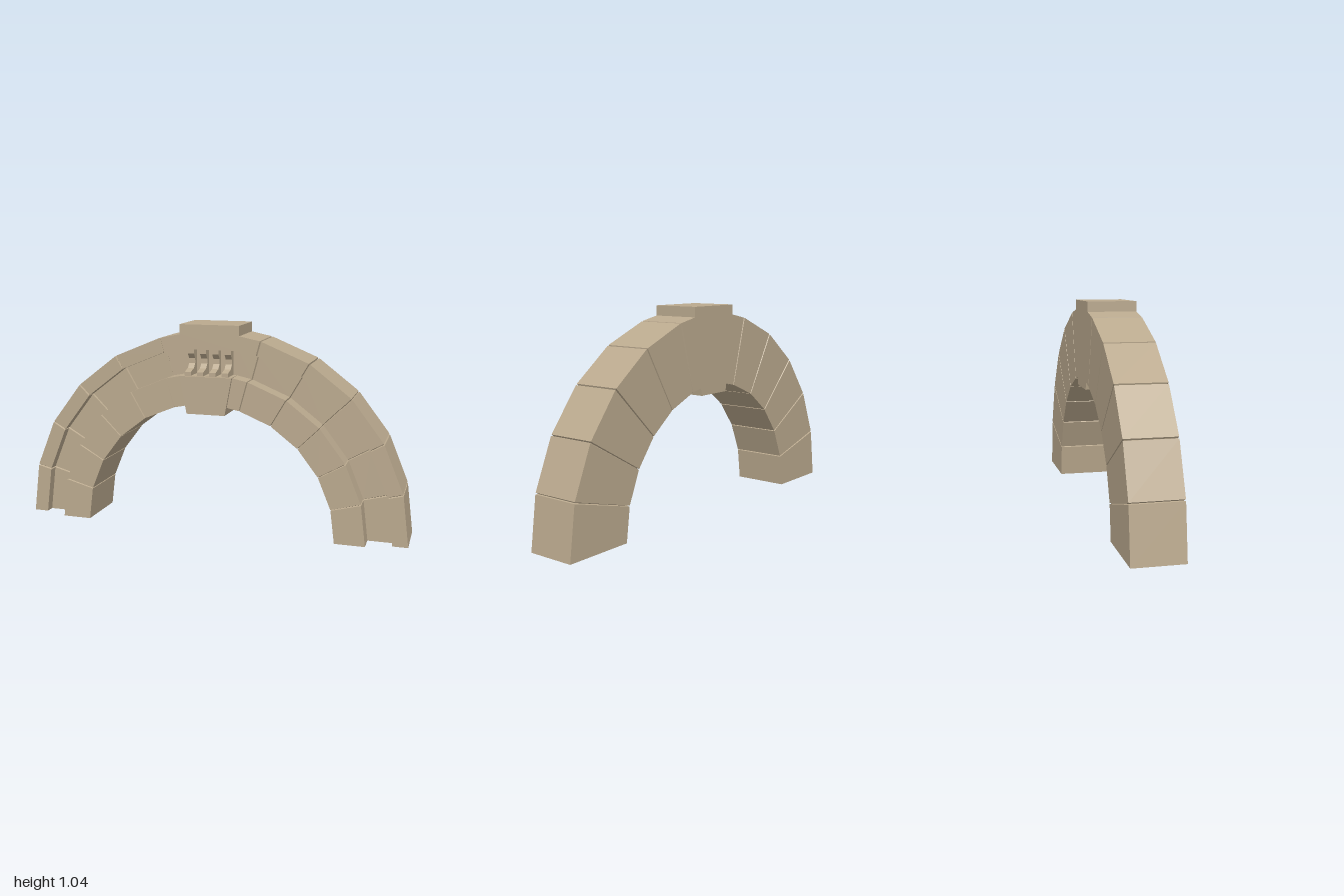
import * as THREE from 'three';

const stone = new THREE.MeshStandardMaterial({ color: 0xbaa98e, side: THREE.DoubleSide, flatShading: true });
stone.name = 'sandstone';

// Cross-section as [radius, z]: recess between two raised bands on the front
const PROFILE = [[1, 0.092], [1, -0.15], [0.65, -0.15], [0.65, 0.14], [0.8, 0.14], [0.8, 0.045], [0.925, 0.045], [0.925, 0.092]];
// The same section shrunk slightly, used at the bottom of the joints
const d = 0.008;
const INSET = [[1 - d, 0.092 - d], [1 - d, -0.15 + d], [0.65 + d, -0.15 + d], [0.65 + d, 0.14 - d],
  [0.8 - d, 0.14 - d], [0.8 - d, 0.045 - d], [0.925 + d, 0.045 - d], [0.925 + d, 0.092 - d]];
const GAP = 0.004;
const rad = THREE.MathUtils.degToRad;

function add(group, name, geometry) {
  const mesh = new THREE.Mesh(geometry, stone);
  mesh.name = name;
  group.add(mesh);
  return mesh;
}

// Skin a list of [angle, section] rings with flat quads, open at both ends
function sweep(rings) {
  const pos = [];
  const at = ([a, section], i) => {
    const [r, z] = section[i % section.length];
    return [r * Math.cos(a), r * Math.sin(a), z];
  };
  for (let k = 0; k < rings.length - 1; k++) {
    for (let i = 0; i < PROFILE.length; i++) {
      const a = at(rings[k], i), b = at(rings[k], i + 1);
      const c = at(rings[k + 1], i + 1), e = at(rings[k + 1], i);
      pos.push(...a, ...b, ...c, ...a, ...c, ...e);
    }
  }
  const g = new THREE.BufferGeometry();
  g.setAttribute('position', new THREE.Float32BufferAttribute(pos, 3));
  g.computeVertexNormals();
  return g;
}

// One arch stone, with half a joint groove at each end that meets another stone
function archStone(from, to, middle = []) {
  const a = rad(from), b = rad(to);
  const start = from === 0 ? [[a, PROFILE]] : [[a, INSET], [a + GAP, PROFILE]];
  const end = to === 180 ? [[b, PROFILE]] : [[b - GAP, PROFILE], [b, INSET]];
  return sweep([...start, ...middle.map((m) => [rad(m), PROFILE]), ...end]);
}

// Extrude an outline from z0 to z1
function prism(points, depth) {
  const shape = new THREE.Shape(points.map(([x, y]) => new THREE.Vector2(x, y)));
  return new THREE.ExtrudeGeometry(shape, { depth, bevelEnabled: false });
}

export function createModel() {
  const model = new THREE.Group();
  model.name = 'stoneArch';

  // Five stones each side
  for (let i = 0; i < 5; i++) {
    add(model, 'leftArchStone', archStone(i * 15, i * 15 + 15));
    add(model, 'rightArchStone', archStone(165 - i * 15, 180 - i * 15));
  }

  // Wide crown stone with a flat middle
  add(model, 'crownStone', archStone(75, 105, [81.5, 98.5]));

  // Cap block on top
  const cap = add(model, 'capBlock', new THREE.BoxGeometry(0.305, 0.06, 0.242));
  cap.position.set(0, 1.008, -0.029);

  // Tapered keystone hanging below the crown
  const key = add(model, 'keystone', prism([[-0.098, 0.603], [0.098, 0.603], [0.132, 0.79], [-0.132, 0.79]], 0.305));
  key.position.z = -0.15;

  // Four scooped ribs in the recess; outline is [z, y]
  const rib = prism([[0.045, 0.785], [0.14, 0.785], [0.14, 0.81], [0.092, 0.823], [0.072, 0.845],
    [0.072, 0.87], [0.092, 0.895], [0.092, 0.915], [0.045, 0.915]], 0.032);
  rib.rotateY(-Math.PI / 2);
  for (let i = 0; i < 4; i++) {
    const m = add(model, 'recessRib', rib);
    m.position.x = -0.095 + i * 0.0633 + 0.016;
  }
  return model;
}
